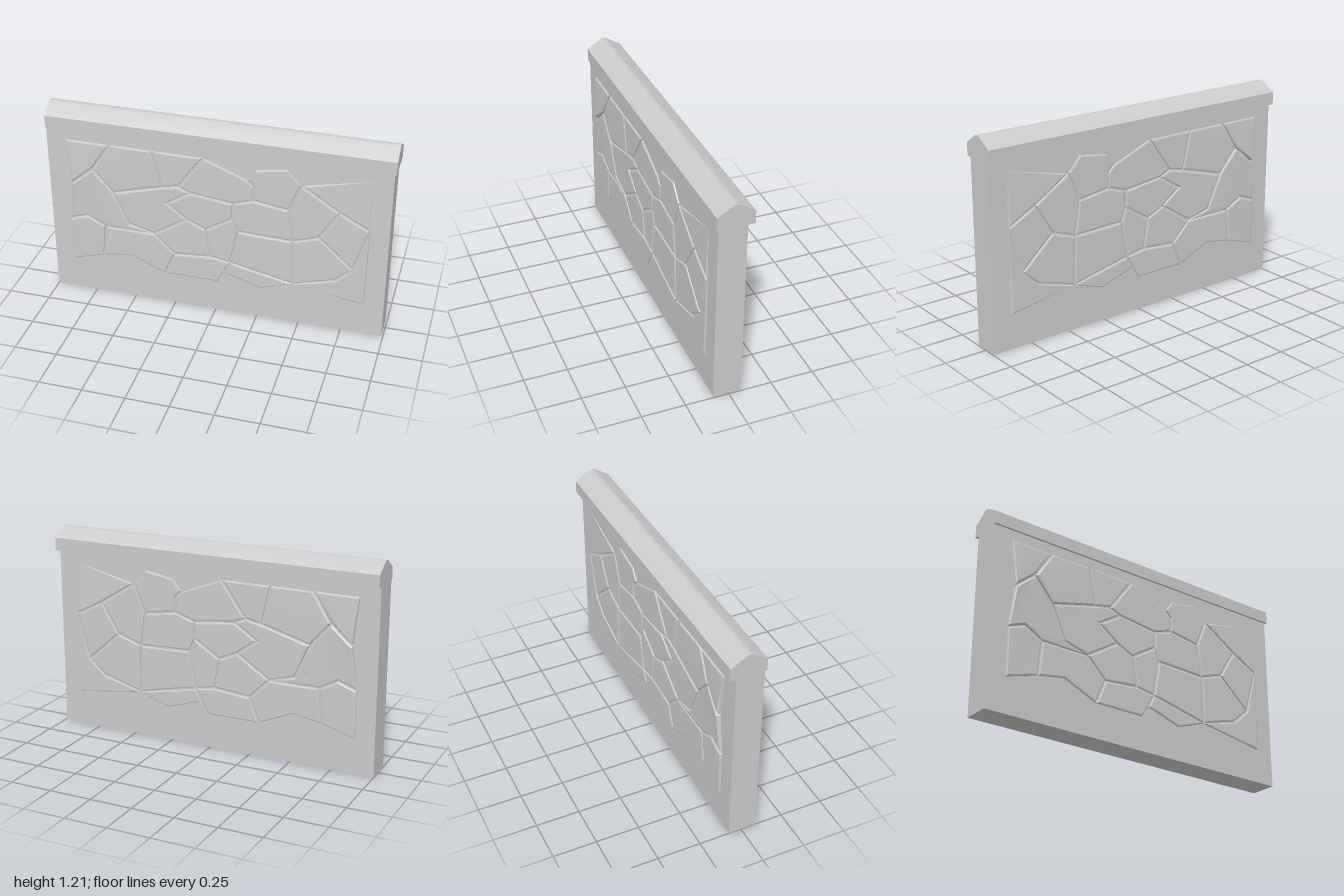
import * as THREE from 'three';
import { toCreasedNormals } from 'three/addons/utils/BufferGeometryUtils.js';

const FRONT = 0.087, BACK = -0.074; // wall faces

// shared corner points of the stone pattern (x, y)
const CORNERS = [
  [-.89, 1.02], [-.62, 1.02], [-.37, 1.02], [-.07, 1.02], [.18, .92], [.23, .99], [.41, 1.02], [.49, .93],
  [.88, 1.02], [-.73, .85], [-.86, .74], [-.61, .71], [-.32, .79], [-.22, .81], [-.15, .78], [.10, .75],
  [.22, .88], [.22, .79], [.42, .76], [.71, .79], [.88, .70], [-.29, .69], [-.17, .60], [-.06, .55],
  [.10, .65], [.13, .57], [.45, .56], [.60, .61], [.80, .43], [-.89, .49], [-.78, .53], [-.67, .47],
  [-.52, .51], [-.37, .47], [-.25, .35], [-.03, .37], [.09, .35], [.46, .27], [.70, .34], [-.69, .26],
  [-.52, .29], [-.31, .20], [.01, .20], [.05, .27], [.27, .20], [-.89, .20], [.88, .20],
].map(([x, y]) => new THREE.Vector2(x, y));

// each stone is a loop of corner indices
const STONES = [
  [0, 1, 9, 10], [1, 2, 12, 11, 9], [2, 3, 13, 12], [3, 4, 16, 17, 15, 14, 13],
  [4, 5, 6, 7, 18, 17, 16], [7, 8, 20, 19], [7, 19, 27, 26, 18], [19, 20, 28, 27],
  [15, 17, 18, 26, 25, 24], [25, 26, 37, 36], [26, 27, 28, 38, 37], [14, 15, 24, 23, 22, 21],
  [11, 12, 13, 14, 21, 22, 33, 32], [22, 23, 35, 34, 33], [23, 24, 25, 36, 35],
  [34, 35, 36, 43, 42, 41], [31, 33, 34, 41, 40, 39], [29, 30, 31, 39, 45],
  [36, 37, 44, 43], [28, 20, 46, 37, 38], [10, 9, 11, 32, 33, 31, 30, 29],
];

// relief height: even, with a swelling on the left and a fade at the top right corner
function relief(p) {
  const swell = Math.max(0, 1 - p.distanceTo(CORNERS[10]) / 0.3);
  const fade = Math.min(1, 0.15 + p.distanceTo(CORNERS[8]) / 0.3);
  return 0.009 * fade + 0.016 * swell;
}

// moves every side of a counter-clockwise loop inwards by d
function inset(loop, d) {
  const n = loop.length;
  const normal = (a, b) => new THREE.Vector2(a.y - b.y, b.x - a.x).normalize();
  return loop.map((p, i) => {
    const n1 = normal(loop[(i + n - 1) % n], p);
    const n2 = normal(p, loop[(i + 1) % n]);
    const k = d / Math.max(0.35, 1 + n1.dot(n2));
    return p.clone().addScaledVector(n1.add(n2), k);
  });
}

// bevelled stone on one face of the wall; side is 1 for front, -1 for back
function stoneGeometry(loop, side) {
  const n = loop.length, pos = [], index = [];
  const face = side > 0 ? FRONT : BACK;
  const rings = [[0.003, 0, -0.005], [0.006, 0.7, 0], [0.013, 1, 0]]; // inset, height share, offset
  for (const [d, share, offset] of rings) {
    inset(loop, d).forEach((p, i) => pos.push(p.x, p.y, face + side * (relief(loop[i]) * share + offset)));
  }
  const tri = (a, b, c) => (side > 0 ? index.push(a, b, c) : index.push(a, c, b));
  for (let r = 0; r < 2; r++) {
    for (let i = 0; i < n; i++) {
      const j = (i + 1) % n, a = r * n;
      tri(a + i, a + j, a + n + j);
      tri(a + i, a + n + j, a + n + i);
    }
  }
  for (const [a, b, c] of THREE.ShapeUtils.triangulateShape(inset(loop, 0.013), [])) {
    tri(2 * n + a, 2 * n + b, 2 * n + c);
  }
  const g = new THREE.BufferGeometry();
  g.setAttribute('position', new THREE.Float32BufferAttribute(pos, 3));
  g.setIndex(index);
  return toCreasedNormals(g, 0.25);
}

export function createModel() {
  const group = new THREE.Group();
  const material = new THREE.MeshStandardMaterial({ color: 0xcccccc });
  const add = (geometry, name, parent = group) => {
    const mesh = new THREE.Mesh(geometry, material);
    mesh.name = name;
    parent.add(mesh);
    return mesh;
  };

  // wall slab
  const slab = add(new THREE.BoxGeometry(1.99, 1.08, FRONT - BACK), 'wallSlab');
  slab.position.set(-0.005, 0.54, (FRONT + BACK) / 2);

  // pitched coping with a softened ridge, extruded along x
  const profile = new THREE.Shape([
    [0.109, 1.08], [0.109, 1.155], [0.022, 1.208], [0.008, 1.213],
    [-0.004, 1.213], [-0.017, 1.208], [-0.1, 1.155], [-0.1, 1.08],
  ].map(([x, y]) => new THREE.Vector2(x, y)));
  const coping = new THREE.ExtrudeGeometry(profile, { depth: 2, bevelEnabled: false });
  coping.rotateY(Math.PI / 2).translate(-1, 0, 0);
  add(toCreasedNormals(coping, 0.5), 'coping');

  // the same stone pattern on both faces
  for (const side of [1, -1]) {
    const panel = new THREE.Group();
    panel.name = side > 0 ? 'frontStones' : 'backStones';
    for (const ids of STONES) {
      const loop = ids.map((i) => CORNERS[i]);
      if (THREE.ShapeUtils.isClockWise(loop)) loop.reverse();
      add(stoneGeometry(loop, side), 'stone', panel);
    }
    group.add(panel);
  }
  return group;
}
